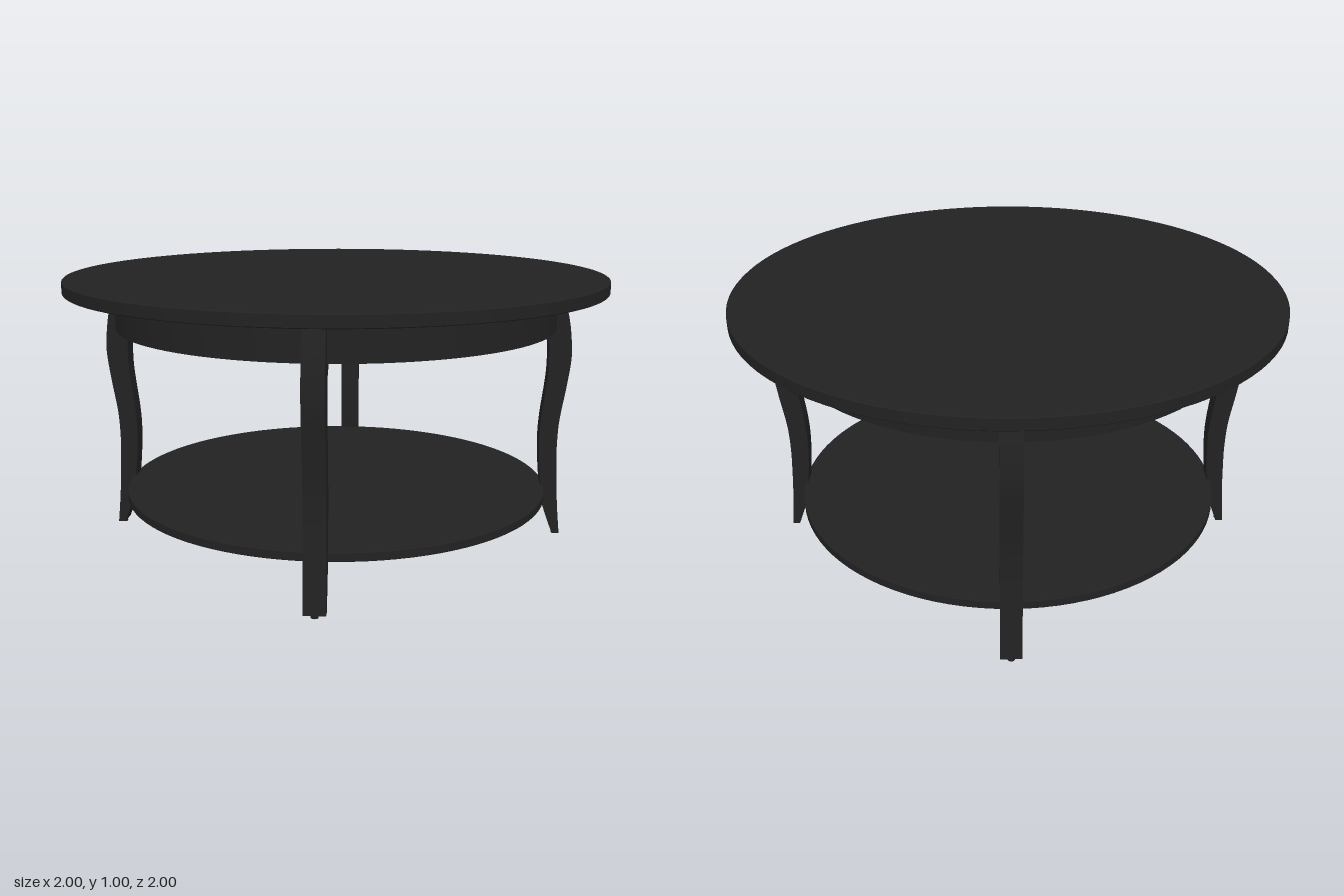
import * as THREE from 'three';
import { toCreasedNormals } from 'three/addons/utils/BufferGeometryUtils.js';

const black = new THREE.MeshStandardMaterial({ color: 0x222222 });
black.name = 'black painted wood';

const v = (x, y) => new THREE.Vector2(x, y);

function addMesh(parent, name, geometry) {
  const mesh = new THREE.Mesh(geometry, black);
  mesh.name = name;
  parent.add(mesh);
  return mesh;
}

// Turned part from a closed (radius, height) profile with crisp edges
function turned(profile) {
  const points = profile.map(([r, y]) => v(r, y));
  return toCreasedNormals(new THREE.LatheGeometry(points, 96), 0.5);
}

// Curved leg: side profile in (radius, height), extruded to the leg width
function legGeometry() {
  const width = 0.075;
  const shape = new THREE.Shape();
  shape.moveTo(0.838, 0.01);
  shape.lineTo(0.865, 0.01);
  shape.splineThru([
    v(0.853, 0.13), v(0.845, 0.26), v(0.842, 0.36), v(0.847, 0.46),
    v(0.866, 0.58), v(0.88, 0.69), v(0.878, 0.76), v(0.865, 0.85), v(0.835, 0.957),
  ]);
  shape.lineTo(0.765, 0.957);
  shape.lineTo(0.765, 0.793);
  shape.splineThru([
    v(0.785, 0.778), v(0.796, 0.745), v(0.798, 0.69), v(0.795, 0.61), v(0.778, 0.46),
    v(0.775, 0.36), v(0.784, 0.23), v(0.803, 0.11), v(0.838, 0.01),
  ]);
  const geometry = new THREE.ExtrudeGeometry(shape, { depth: width, bevelEnabled: false, curveSegments: 4 });
  geometry.translate(0, 0, -width / 2);
  return toCreasedNormals(geometry, 0.5);
}

export function createModel() {
  const table = new THREE.Group();
  table.name = 'roundTable';

  // Round top with a slightly eased rim
  addMesh(table, 'tableTop', turned([
    [0, 0.955], [0.997, 0.955], [1, 0.958], [1, 0.997], [0.997, 1], [0, 1],
  ]));

  // Ring apron under the top
  addMesh(table, 'apron', turned([
    [0.785, 0.956], [0.785, 0.818], [0.818, 0.818], [0.818, 0.956],
  ]));

  // Lower shelf held between the legs
  addMesh(table, 'lowerShelf', turned([
    [0, 0.168], [0.798, 0.168], [0.8, 0.17], [0.8, 0.198], [0.798, 0.2], [0, 0.2],
  ]));

  // Four legs, each with a small glide under the foot
  const leg = legGeometry();
  const glide = new THREE.CylinderGeometry(0.013, 0.013, 0.012, 16);
  for (let i = 0; i < 4; i++) {
    const legGroup = new THREE.Group();
    legGroup.name = `leg${i + 1}`;
    addMesh(legGroup, 'curvedLeg', leg);
    addMesh(legGroup, 'footGlide', glide).position.set(0.852, 0.006, 0);
    legGroup.rotation.y = (i * Math.PI) / 2;
    table.add(legGroup);
  }

  return table;
}
